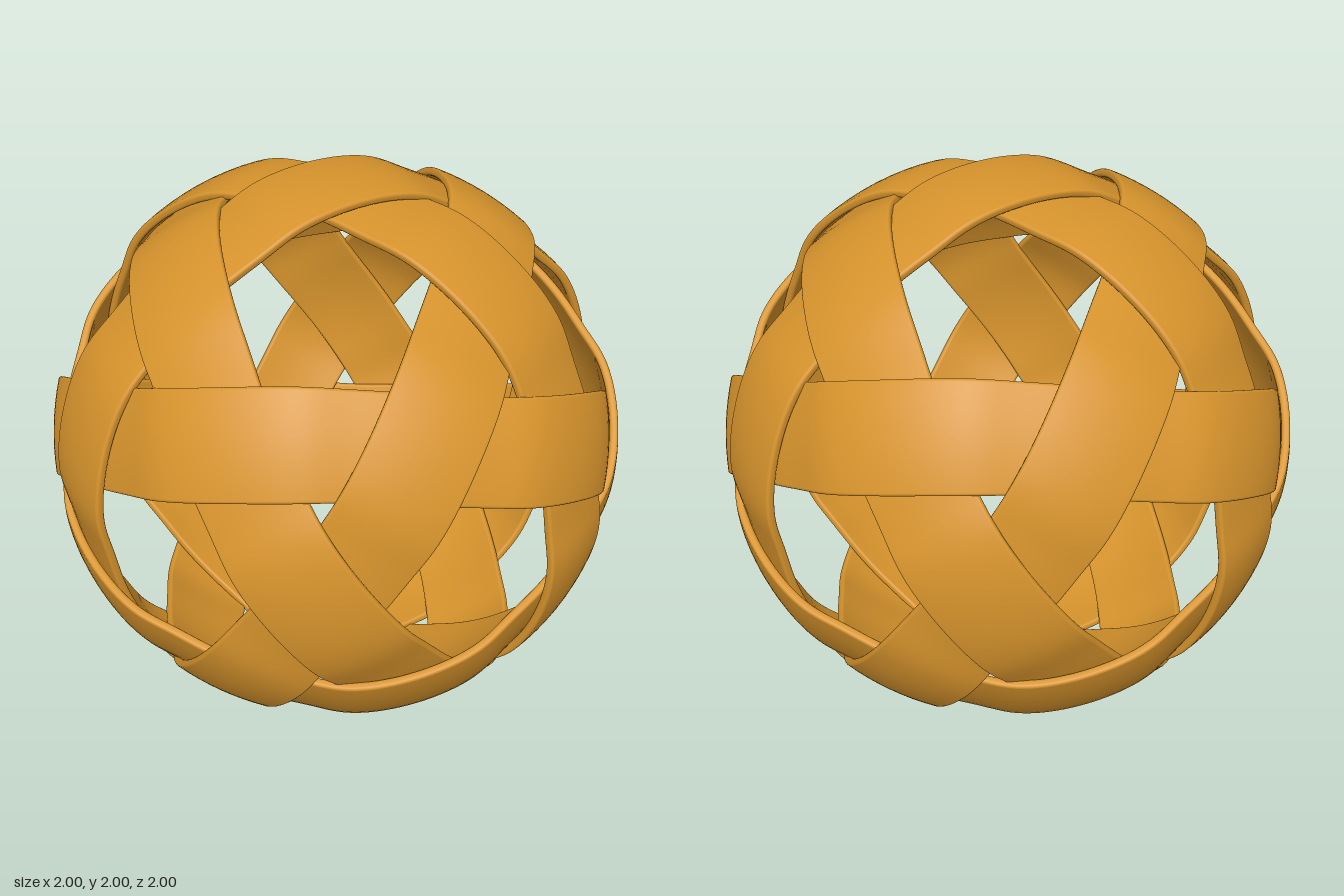
import * as THREE from 'three';

const MEAN = 0.982, WAVE = 0.018, THICK = 0.03; // band radius, weave height, thickness
const HALF = 0.176, DRIFT = 0.01;               // half width and sideways drift (radians)
const STEPS = 240;

// Closed cross-section: [across, radial], rounded rectangle
function bandProfile() {
  const points = [];
  const r = 0.011, flat = 8, arc = 4;
  const w = HALF - r, h = THICK / 2 - r;
  const corner = (cx, cy, start) => {
    for (let k = 0; k <= arc; k++) {
      const a = start + (k / arc) * Math.PI / 2;
      points.push([cx + r * Math.cos(a), cy - THICK / 2 + r * Math.sin(a)]);
    }
  };
  const run = (from, to, d) => {
    for (let k = 1; k < flat; k++) points.push([from + (to - from) * k / flat, d]);
  };
  corner(w, h, 0);
  run(w, -w, 0);
  corner(-w, h, Math.PI / 2);
  corner(-w, -h, Math.PI);
  run(-w, w, -THICK);
  corner(w, -h, Math.PI * 1.5);
  return points;
}

// Great-circle band around an axis, rising and dipping five times
function bandGeometry(axis, start, profile) {
  const side = new THREE.Vector3().crossVectors(axis, start);
  const positions = [], index = [], n = profile.length;
  const p = new THREE.Vector3();
  for (let i = 0; i < STEPS; i++) {
    const t = (i / STEPS) * Math.PI * 2;
    const lift = WAVE * Math.tanh(2 * Math.cos(5 * t)) / Math.tanh(2);
    const drift = DRIFT * Math.sin(5 * t);
    for (let j = 0; j < n; j++) {
      const a = profile[j][0] + drift;
      p.set(0, 0, 0)
        .addScaledVector(start, Math.cos(t) * Math.cos(a))
        .addScaledVector(side, Math.sin(t) * Math.cos(a))
        .addScaledVector(axis, Math.sin(a))
        .multiplyScalar(MEAN + lift + profile[j][1]);
      positions.push(p.x, p.y, p.z);
      const j2 = (j + 1) % n, b = i * n, c = ((i + 1) % STEPS) * n;
      index.push(b + j, b + j2, c + j, c + j, b + j2, c + j2);
    }
  }
  const geometry = new THREE.BufferGeometry();
  geometry.setAttribute('position', new THREE.Float32BufferAttribute(positions, 3));
  geometry.setIndex(index);
  geometry.computeVertexNormals();
  return geometry;
}

export function createModel() {
  const group = new THREE.Group();
  group.name = 'wovenBall';
  const rattan = new THREE.MeshStandardMaterial({ color: 0xd6932c });
  rattan.name = 'rattan';
  const profile = bandProfile();
  const phi = (1 + Math.sqrt(5)) / 2;

  // Six bands, one for each pair of opposite icosahedron corners
  let count = 0;
  for (const sign of [1, -1]) {
    let axis = new THREE.Vector3(phi, sign, 0).normalize();
    let start = new THREE.Vector3(0, 0, sign);
    for (let k = 0; k < 3; k++) {
      const band = new THREE.Mesh(bandGeometry(axis, start, profile), rattan);
      band.name = 'band' + (++count);
      band.position.y = 1;
      group.add(band);
      axis = new THREE.Vector3(axis.z, axis.x, axis.y);
      start = new THREE.Vector3(start.z, start.x, start.y);
    }
  }
  return group;
}
